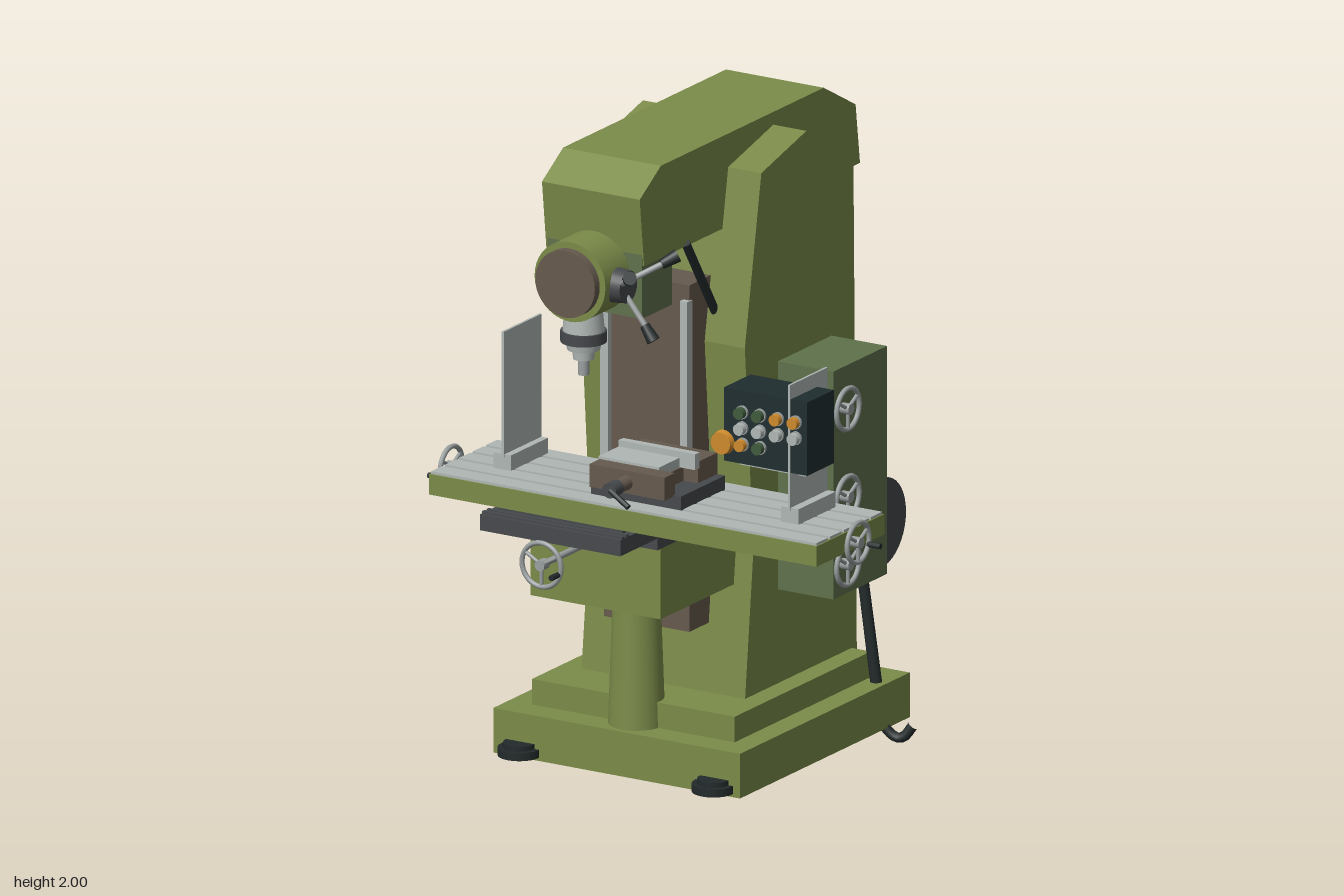
import * as THREE from 'three';

const mat = (name, color) => {
  const m = new THREE.MeshStandardMaterial({ color });
  m.name = name;
  return m;
};

export function createModel() {
  const green = mat('machine green', 0x7b8b49);
  const sage = mat('sage green', 0x5f714b);
  const brown = mat('bare iron brown', 0x665a4e);
  const grey = mat('dark grey', 0x46494c);
  const silver = mat('silver', 0xafb7b4);
  const steel = mat('steel', 0x9a9f9f);
  const black = mat('black', 0x232a2b);
  const panelDark = mat('panel dark', 0x1f2d2f);
  const orange = mat('orange', 0xcf8a2c);
  const lampGreen = mat('lamp green', 0x3f5a3c);

  const root = new THREE.Group();
  root.name = 'millingMachine';
  const add = (name, geo, m, parent = root) => {
    const mesh = new THREE.Mesh(geo, m);
    mesh.name = name;
    parent.add(mesh);
    return mesh;
  };
  // box given by its extents
  const box = (name, m, x0, x1, y0, y1, z0, z1) =>
    add(name, new THREE.BoxGeometry(x1 - x0, y1 - y0, z1 - z0)
      .translate((x0 + x1) / 2, (y0 + y1) / 2, (z0 + z1) / 2), m);
  // round bar between two points, with end radii
  const rod = (name, m, a, b, r0, r1 = r0, parent = root, seg = 24) => {
    const p = new THREE.Vector3(...a), q = new THREE.Vector3(...b);
    const d = q.clone().sub(p);
    const mesh = add(name, new THREE.CylinderGeometry(r1, r0, d.length(), seg), m, parent);
    mesh.position.copy(p).add(q).multiplyScalar(0.5);
    mesh.quaternion.setFromUnitVectors(new THREE.Vector3(0, 1, 0), d.normalize());
    return mesh;
  };
  // side profile of [z, y] points extruded from x0 to x1
  const profile = (name, m, pts, x0, x1) =>
    add(name, new THREE.ExtrudeGeometry(new THREE.Shape(pts.map(p => new THREE.Vector2(...p))),
      { depth: x1 - x0, bevelEnabled: false }).rotateY(-Math.PI / 2).translate(x1, 0, 0), m);
  // three-spoke handwheel facing local +z
  const handwheel = (name, x, y, z, turn, r, grip) => {
    const g = new THREE.Group();
    g.name = name;
    add('rim', new THREE.TorusGeometry(r - 0.008, 0.008, 8, 32), steel, g);
    rod('hub', steel, [0, 0, -0.02], [0, 0, 0.012], 0.017, 0.017, g);
    for (let i = 0; i < 3; i++) {
      const t = Math.PI * (1 / 6 + i * 2 / 3);
      rod('spoke', steel, [0, 0, 0], [Math.cos(t) * (r - 0.01), Math.sin(t) * (r - 0.01), 0], 0.006, 0.006, g, 8);
    }
    if (grip) rod('grip', black, [r * 0.8, -0.02, 0], [r * 0.8, -0.02, 0.045], 0.009, 0.009, g, 10);
    g.position.set(x, y, z);
    g.rotation.y = turn;
    root.add(g);
  };

  // base, feet and column
  box('base', green, -0.64, 0.23, 0.05, 0.19, -0.65, 0.31);
  box('baseStep', green, -0.56, 0.155, 0.19, 0.27, -0.55, 0.22);
  for (const x of [-0.545, 0.14]) {
    rod('footDisc', black, [x, 0.06, 0.315], [x, 0.085, 0.315], 0.066);
    rod('footCap', black, [x, 0.085, 0.315], [x, 0.1, 0.315], 0.05);
  }
  profile('column', green, [[0.057, 0.22], [0.005, 0.72], [0.053, 1.37], [-0.04, 1.895],
    [-0.295, 1.96], [-0.56, 1.84], [-0.58, 0.22]], -0.49, 0.087);
  profile('ram', green, [[0.435, 1.71], [0.46, 1.925], [0.34, 2], [-0.58, 2],
    [-0.76, 1.9], [-0.785, 1.71]], -0.375, -0.03);

  // vertical slideway and rails
  box('slideway', brown, -0.355, -0.055, 0.48, 1.567, 0, 0.14);
  box('rightRail', silver, -0.358, -0.33, 0.9, 1.52, 0.13, 0.16);
  box('leftRail', silver, -0.076, -0.05, 0.9, 1.52, 0.13, 0.16);

  // head and spindle
  box('headBlock', sage, -0.368, -0.035, 1.545, 1.745, 0.27, 0.44);
  rod('headDrum', green, [-0.203, 1.67, 0.3], [-0.203, 1.67, 0.577], 0.125, 0.125, root, 40);
  rod('headCover', brown, [-0.203, 1.67, 0.577], [-0.203, 1.67, 0.605], 0.105, 0.105, root, 40);
  const spindle = [[1.56, 0.058, 0.064, 1.497, silver], [1.5, 0.07, 0.07, 1.465, grey],
    [1.465, 0.054, 0.05, 1.44, silver], [1.44, 0.034, 0.032, 1.41, silver],
    [1.41, 0.017, 0.017, 1.36, steel]];
  for (const [y0, r0, r1, y1, m] of spindle)
    rod('spindle', m, [-0.203, y0, 0.5], [-0.203, y1, 0.5], r0, r1);

  // three-arm feed lever
  rod('feedHub', grey, [-0.1, 1.66, 0.5], [-0.045, 1.66, 0.5], 0.055, 0.05);
  for (let i = 0; i < 3; i++) {
    const t = Math.PI * (1 / 6 + i * 2 / 3);
    const at = (x, r) => [x, 1.66 + Math.sin(t) * r, 0.5 + Math.cos(t) * r];
    rod('feedArm', steel, at(-0.06, 0.02), at(0.025, 0.125), 0.009, 0.009, root, 12);
    rod('feedKnob', black, at(0.012, 0.11), at(0.044, 0.155), 0.015, 0.021, root, 12);
  }
  rod('ramLever', black, [-0.03, 1.72, 0.2], [-0.035, 1.45, 0.02], 0.014, 0.014, root, 12);

  // knee, support post and saddle
  box('knee', green, -0.435, 0.025, 0.61, 0.87, 0, 0.43);
  rod('supportPost', green, [-0.2, 0.19, 0.205], [-0.2, 0.62, 0.205], 0.086, 0.071, root, 32);
  box('kneeCover', grey, -0.43, 0.03, 0.865, 0.91, 0, 0.2);
  box('saddleLower', grey, -0.435, 0.04, 0.84, 0.885, 0.19, 0.472);
  box('saddle', grey, -0.45, 0.045, 0.88, 0.93, 0.19, 0.69);
  for (const z of [0.64, 0.665])
    box('saddleRidge', grey, -0.45, 0.045, 0.93, 0.937, z, z + 0.014);
  box('tableGuide', grey, -0.42, 0.015, 0.93, 0.945, 0.25, 0.63);

  // slotted table
  box('table', green, -0.667, 0.7, 0.94, 1.004, 0.247, 0.63);
  const slots = [0.245, 0.322, 0.398, 0.476, 0.554, 0.632];
  for (let i = 0; i < 5; i++)
    box('tableStrip', silver, -0.663, 0.696, 1.003, 1.012, slots[i] + 0.007, slots[i + 1] - 0.007);

  // handwheels
  rod('tableScrew', steel, [-0.71, 0.972, 0.443], [0.735, 0.972, 0.443], 0.012);
  handwheel('tableWheelRight', -0.706, 0.972, 0.443, -Math.PI / 2, 0.07, true);
  handwheel('tableWheelLeft', 0.73, 0.972, 0.443, Math.PI / 2, 0.07, true);
  rod('kneeShaft', steel, [-0.203, 0.825, 0.42], [-0.203, 0.825, 0.74], 0.01);
  handwheel('kneeWheel', -0.203, 0.825, 0.738, 0, 0.077, true);

  // gearbox with its wheels
  box('gearbox', sage, 0.08, 0.283, 0.565, 1.28, -0.437, -0.133);
  for (const y of [1.153, 0.877, 0.665])
    handwheel('gearboxWheel', 0.302, y, -0.185, Math.PI / 2, 0.072, false);

  // motor, levers and foot pedal
  rod('motor', grey, [-0.06, 0.67, -0.572], [0.135, 0.67, -0.572], 0.134, 0.134, root, 40);
  rod('motorCap', grey, [0.135, 0.67, -0.572], [0.178, 0.67, -0.572], 0.14, 0.14, root, 40);
  rod('shiftLever', black, [0.08, 1.01, -0.39], [0.13, 0.953, -0.545], 0.014, 0.014, root, 12);
  rod('pedalRod', black, [0.11, 0.89, -0.49], [0.195, 0.17, -0.52], 0.015, 0.018, root, 12);
  add('footPedal', new THREE.TubeGeometry(new THREE.CatmullRomCurve3([[0.19, 0.19, -0.52],
    [0.21, 0.06, -0.53], [0.25, 0.02, -0.54], [0.275, 0.025, -0.545], [0.3, 0.06, -0.555]]
    .map(p => new THREE.Vector3(...p))), 20, 0.016, 10), black);

  // vise
  box('viseBase', grey, -0.14, 0.178, 1.01, 1.055, 0.31, 0.56);
  box('viseBody', brown, -0.09, 0.1, 1.05, 1.1, 0.33, 0.59);
  box('viseRearJaw', brown, -0.115, 0.15, 1.05, 1.122, 0.31, 0.42);
  box('viseFrontJaw', brown, -0.115, 0.15, 1.05, 1.122, 0.55, 0.607);
  box('viseSlide', silver, -0.12, 0.095, 1.09, 1.13, 0.43, 0.55);
  box('viseJawPlate', silver, -0.12, 0.15, 1.1, 1.15, 0.41, 0.435);
  rod('viseScrew', brown, [0.015, 1.085, 0.6], [0.015, 1.085, 0.67], 0.022);
  rod('viseScrewEnd', grey, [0.015, 1.085, 0.66], [0.015, 1.085, 0.705], 0.024);
  rod('viseHandle', black, [0.015, 1.085, 0.7], [0.085, 1.045, 0.708], 0.009, 0.009, root, 12);

  // splash guards on the table
  for (const [x, b] of [[-0.49, -0.525], [0.52, 0.49]]) {
    box('guardFoot', silver, b, b + 0.062, 1.01, 1.06, 0.285, 0.495);
    box('guardPlate', silver, x - 0.004, x + 0.004, 1.05, 1.445, 0.285, 0.497);
  }

  // control panel
  box('panelBracket', silver, 0.315, 0.55, 1.15, 1.17, 0.29, 0.45);
  box('controlPanel', panelDark, 0.29, 0.583, 1.17, 1.4, 0.345, 0.495);
  const rows = [[1.333, [lampGreen, lampGreen, orange, orange]],
    [1.283, [silver, silver, silver, silver]], [1.232, [null, orange, lampGreen]]];
  rows.forEach(([y, mats], row) => mats.forEach((m, i) => {
    if (!m) return;
    const x = row === 2 ? 0.295 + i * 0.062 : 0.355 + i * 0.063;
    rod('buttonCollar', steel, [x, y, 0.49], [x, y, 0.503], 0.021, 0.021, root, 16);
    rod('button', m, [x, y, 0.49], [x, y, 0.522], 0.018, 0.018, root, 16);
  }));
  rod('stopStem', steel, [0.305, 1.232, 0.49], [0.305, 1.232, 0.51], 0.015);
  rod('stopButton', orange, [0.295, 1.232, 0.505], [0.295, 1.232, 0.525], 0.038, 0.034);

  return root;
}
